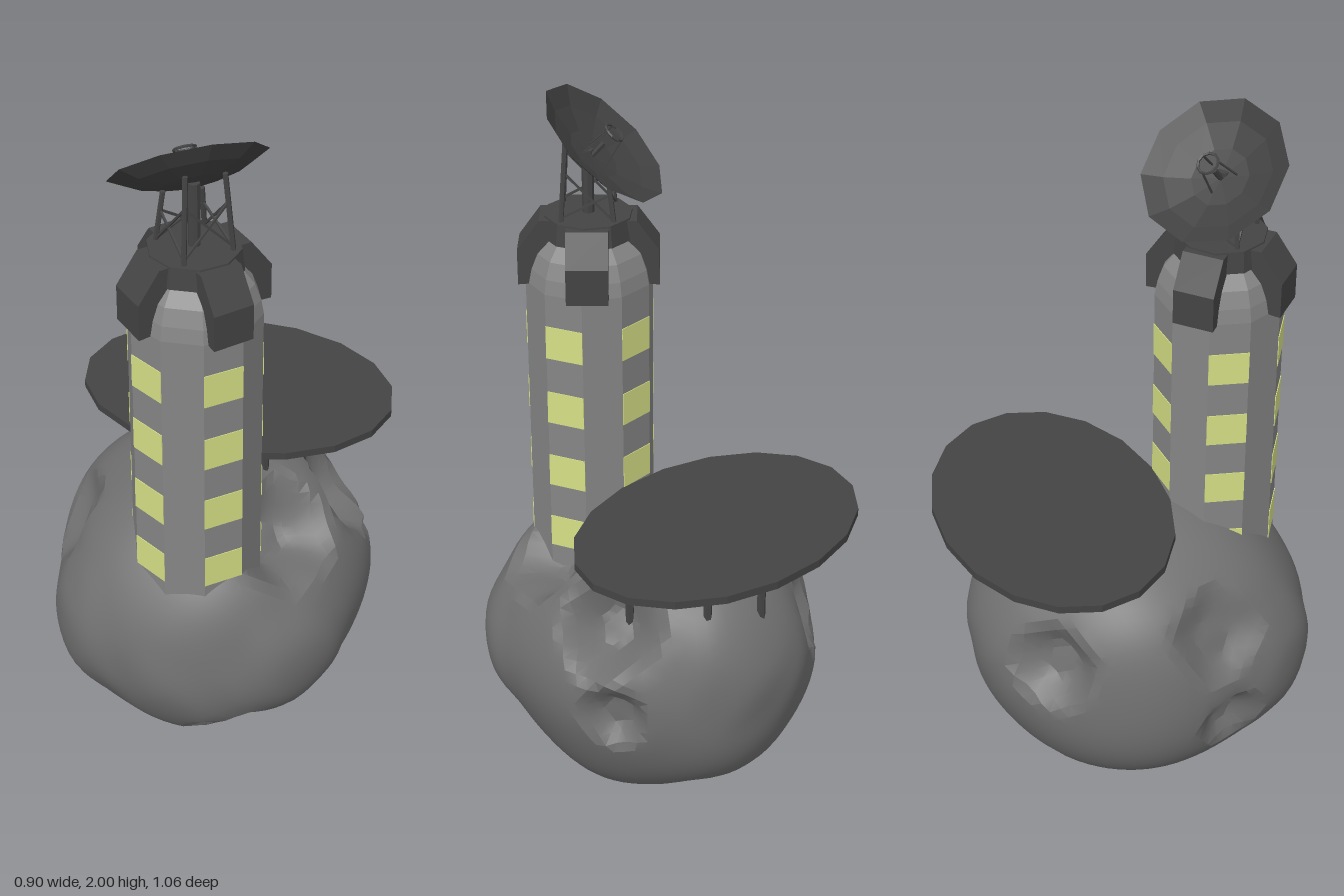
import * as THREE from 'three';
import { toCreasedNormals } from 'three/addons/utils/BufferGeometryUtils.js';

const DEG = Math.PI / 180;
const V = (x, y, z) => new THREE.Vector3(x, y, z);
const mat = (color, extra = {}) => new THREE.MeshStandardMaterial({ color, ...extra });
const rockMat = mat(0x707070);
const wallMat = mat(0x858585, { flatShading: true });
const glassMat = mat(0xd6e085);
const darkMat = mat(0x444444, { flatShading: true });
const dishMat = mat(0x404040, { flatShading: true, side: THREE.DoubleSide });

function add(parent, name, geometry, material, x = 0, y = 0, z = 0) {
  const mesh = new THREE.Mesh(geometry, material);
  mesh.name = name;
  mesh.position.set(x, y, z);
  parent.add(mesh);
  return mesh;
}

// Straight rod between two points
function rod(parent, name, a, b, r, sides = 6) {
  const d = b.clone().sub(a);
  const mesh = add(parent, name, new THREE.CylinderGeometry(r, r, d.length(), sides), darkMat);
  mesh.position.copy(a).add(b).multiplyScalar(0.5);
  mesh.quaternion.setFromUnitVectors(V(0, 1, 0), d.normalize());
}

// Lumpy asteroid: an ellipsoid with craters pressed in and bulges pushed out
function buildRock(root) {
  const centre = V(-0.005, 0.44, 0.04);
  const features = [ // direction, radius, depth (negative for a bulge)
    [V(0.17, -0.3, 0.37), 0.15, 0.09],
    [V(0.36, 0.26, -0.17), 0.17, 0.12],
    [V(0.42, 0.0, -0.25), 0.11, 0.06],
    [V(0.27, 0.36, 0.2), 0.2, 0.13],
    [V(-0.42, -0.09, 0.12), 0.11, 0.05],
    [V(-0.4, 0.2, 0.1), 0.16, 0.055],
    [V(-0.26, 0.12, -0.36), 0.15, 0.08],
    [V(0.08, -0.4, -0.23), 0.13, 0.06],
    [V(0, -0.36, -0.22), 0.25, 0.025],
    [V(0.05, 0.22, -0.42), 0.3, -0.022],
    [V(0.36, -0.02, 0.36), 0.24, -0.022],
    [V(-0.36, -0.02, 0.36), 0.24, -0.022],
    [V(0, -0.17, 0.45), 0.25, -0.015],
    [V(0, -0.38, 0.2), 0.2, -0.015],
  ];
  const onSurface = (d) => d.multiplyScalar(1 / Math.hypot(d.x / 0.445, d.y / 0.44, d.z / 0.485));
  features.forEach((f) => onSurface(f[0]));

  const geo = new THREE.IcosahedronGeometry(1, 16);
  const pos = geo.attributes.position;
  const p = V(0, 0, 0);
  for (let i = 0; i < pos.count; i++) {
    onSurface(p.fromBufferAttribute(pos, i));
    const ragged = 1 + 0.1 * Math.sin(31 * p.x + 17 * p.y) * Math.sin(27 * p.z + 2);
    let push = 0;
    for (const [c, r, depth] of features) {
      const t = THREE.MathUtils.clamp((1 - ragged * p.distanceTo(c) / r) * 1.5, 0, 1);
      push += depth * t * t * (3 - 2 * t);
    }
    const lump = 0.006 * Math.sin(11 * p.x + 3) * Math.sin(13 * p.y + 1) + 0.006 * Math.sin(12 * p.z + 9 * p.x);
    p.setLength(p.length() - push + lump).add(centre);
    pos.setXYZ(i, p.x, Math.max(p.y, 0), p.z);
  }
  add(root, 'asteroid', toCreasedNormals(geo, 0.35), rockMat);
}

// Ten-sided tower with lit windows on every second face
function buildTower(root) {
  const tower = new THREE.Group();
  tower.name = 'tower';
  tower.position.set(0.01, 0, 0.275);
  root.add(tower);

  const R = 0.175, start = 22 * DEG;
  add(tower, 'towerWall', new THREE.CylinderGeometry(R, R, 0.99, 10, 1, false, start), wallMat, 0, 0.995, 0);
  const dome = [[R, 1.49], [0.168, 1.53], [0.152, 1.575], [0.12, 1.615], [0.1, 1.63]].map((q) => new THREE.Vector2(...q));
  add(tower, 'towerShoulder', new THREE.LatheGeometry(dome, 10, start), wallMat);
  add(tower, 'roofCap', new THREE.CylinderGeometry(0.12, 0.127, 0.06, 10, 1, false, start), darkMat, 0, 1.643, 0);

  // Windows in four rows
  const apothem = R * Math.cos(18 * DEG), faceWidth = 2 * R * Math.sin(18 * DEG);
  const windowGeo = new THREE.BoxGeometry(0.004, 0.095, faceWidth);
  for (let k = 0; k < 5; k++) {
    const side = new THREE.Group();
    side.name = 'windowColumn';
    side.rotation.y = -(50 + 72 * k) * DEG;
    tower.add(side);
    for (let row = 0; row < 4; row++) add(side, 'window', windowGeo, glassMat, apothem, 0.762 + row * 0.196, 0);
  }

  // Four roof brackets; side profile with outward along x, height along y
  const profile = new THREE.Shape([[0.13, 1.49], [0.19, 1.485], [0.19, 1.585], [0.13, 1.668], [0.08, 1.668]]
    .map((q) => new THREE.Vector2(...q)));
  const bracketGeo = new THREE.ExtrudeGeometry(profile, { depth: 0.112, bevelEnabled: false });
  bracketGeo.translate(0, 0, -0.056);
  for (let k = 0; k < 4; k++) {
    add(tower, 'roofBracket', bracketGeo, darkMat).rotation.y = -(45 + 90 * k) * DEG;
  }
}

// Oval landing deck on thin posts
function buildPlatform(root) {
  const deck = add(root, 'landingDeck', new THREE.CylinderGeometry(0.447, 0.447, 0.022, 18, 1, false, 7 * DEG),
    darkMat, 0.005, 0.9, -0.212);
  deck.scale.z = 0.715;
  const posts = [ // x, z, foot height
    [0.22, -0.09, 0.55], [0.15, 0.07, 0.78], [-0.2, -0.09, 0.7],
    [0.01, -0.382, 0.67], [-0.14, -0.3, 0.68], [0.15, -0.317, 0.64],
  ];
  for (const [x, z, y] of posts) rod(root, 'deckPost', V(x, y, z), V(x, 0.895, z), 0.012);
}

// Tilted dish antenna on a braced stand
function buildDish(root) {
  const centre = V(-0.015, 1.87, 0.235);
  const n = V(-0.35, 0.75, -0.56).normalize();
  const dish = new THREE.Group();
  dish.name = 'dish';
  dish.position.copy(centre);
  dish.quaternion.setFromUnitVectors(V(0, 1, 0), n);
  root.add(dish);
  const bowl = [[0, -0.05], [0.08, -0.045], [0.15, -0.026], [0.202, 0]].map((q) => new THREE.Vector2(...q));
  add(dish, 'dishBowl', new THREE.LatheGeometry(bowl, 10), dishMat);

  // Feed horn held by three struts inside the bowl
  rod(dish, 'feedStem', V(0, -0.05, 0), V(0, 0.0, 0), 0.008);
  add(dish, 'feedRing', new THREE.TorusGeometry(0.028, 0.004, 5, 10).rotateX(Math.PI / 2), darkMat, 0, 0.04, 0);
  for (let k = 0; k < 3; k++) {
    const a = k * 120 * DEG, c = Math.cos(a), s = Math.sin(a);
    rod(dish, 'feedStrut', V(0.045 * c, -0.047, 0.045 * s), V(0.028 * c, 0.04, 0.028 * s), 0.003, 4);
  }

  // Stand: four legs cut to the underside of the dish, with crossed braces
  const under = (x, z) => centre.y - (n.x * (x - centre.x) + n.z * (z - centre.z)) / n.y - 0.064;
  const feet = [], tops = [];
  for (let k = 0; k < 4; k++) {
    const c = Math.cos(k * 90 * DEG), s = Math.sin(k * 90 * DEG);
    const x = 0.01 + 0.078 * c, z = 0.275 + 0.078 * s;
    feet.push(V(0.01 + 0.1 * c, 1.66, 0.275 + 0.1 * s));
    tops.push(V(x, under(x, z), z));
    rod(root, 'standLeg', feet[k], tops[k], 0.007);
  }
  for (let k = 0; k < 4; k++) {
    const j = (k + 1) % 4;
    rod(root, 'standBrace', feet[k].clone().lerp(tops[k], 0.1), feet[j].clone().lerp(tops[j], 0.65), 0.004, 4);
    rod(root, 'standBrace', feet[j].clone().lerp(tops[j], 0.1), feet[k].clone().lerp(tops[k], 0.65), 0.004, 4);
  }
  rod(root, 'standMast', V(0.01, 1.66, 0.275), V(0.01, under(0.01, 0.275), 0.275), 0.016, 8);
}

export function createModel() {
  const root = new THREE.Group();
  root.name = 'asteroidStation';
  buildRock(root);
  buildTower(root);
  buildPlatform(root);
  buildDish(root);
  return root;
}
